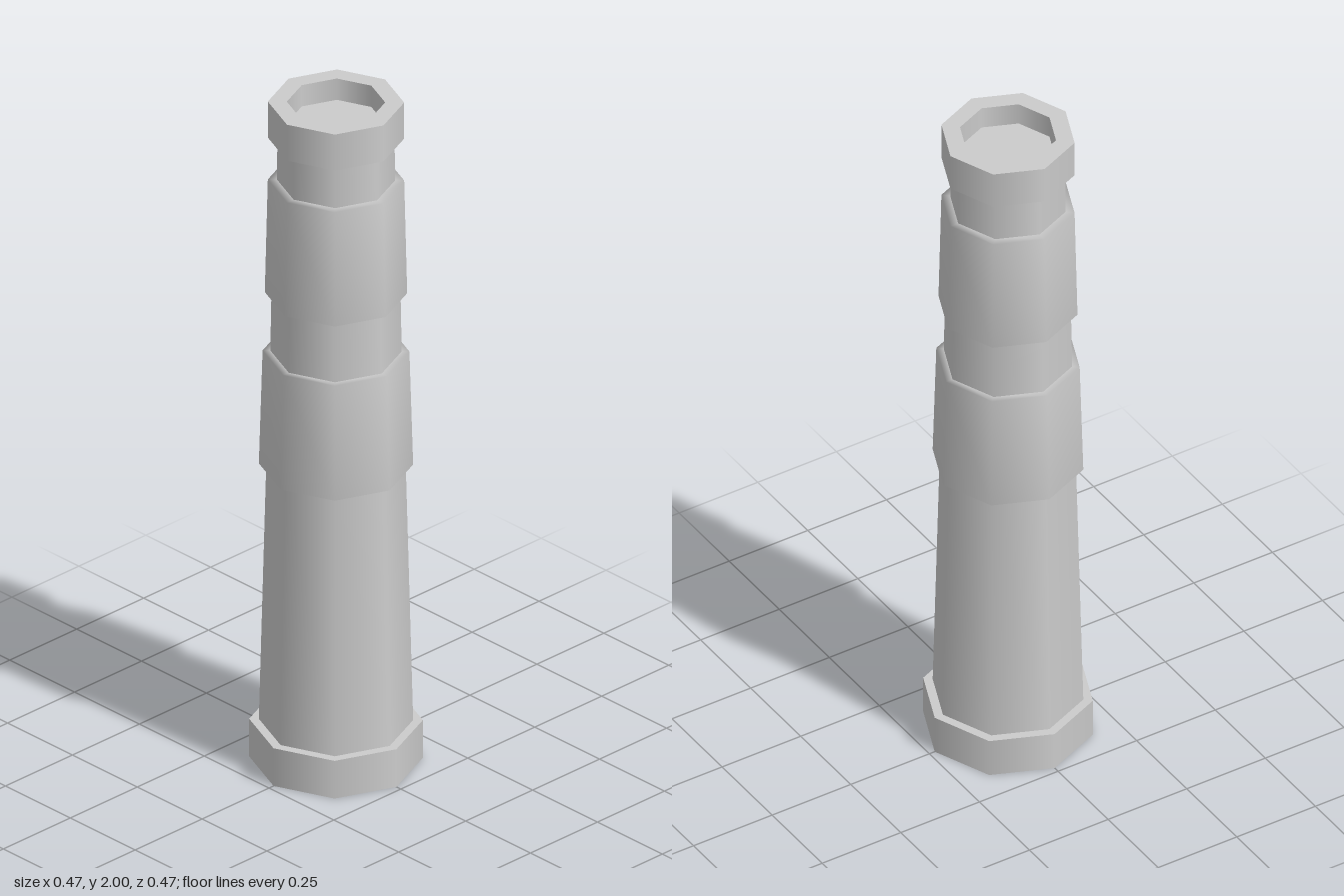
import * as THREE from 'three';
import { mergeGeometries } from 'three/addons/utils/BufferGeometryUtils.js';

const SIDES = 8;
const material = new THREE.MeshStandardMaterial({ color: 0xcccccc });

const lathe = (points) =>
  new THREE.LatheGeometry(points.map(([r, y]) => new THREE.Vector2(r, y)), SIDES);

// Turned part, smooth around the axis, with a hard edge at every profile point
function hardTurned(profile) {
  const bands = [];
  for (let i = 0; i < profile.length - 1; i++) bands.push(lathe([profile[i], profile[i + 1]]));
  return mergeGeometries(bands);
}

export function createModel() {
  const model = new THREE.Group();
  const add = (name, geometry) => {
    const mesh = new THREE.Mesh(geometry, material);
    mesh.name = name;
    model.add(mesh);
  };

  // Closed rim around the large lens
  add('lensRim', hardTurned([[0, 0], [0.233, 0], [0.233, 0.115], [0, 0.115]]));

  // Three telescoping tubes, each tucked into the next collar
  add('mainTube', hardTurned([[0.207, 0.115], [0.187, 0.9]]));
  add('middleTube', hardTurned([[0.177, 1.2], [0.173, 1.43]]));
  add('eyeTube', hardTurned([[0.159, 1.72], [0.157, 1.9]]));

  // Collars with softly shaded edges
  const collars = [
    ['lowerCollar', 0.895, 1.24, 0.207, 0.197, 0.18, 0.17],
    ['upperCollar', 1.418, 1.762, 0.191, 0.183, 0.165, 0.15],
  ];
  for (const [name, y0, y1, r0, r1, inner0, inner1] of collars) {
    add(name, lathe([[inner0, y0], [r0, y0], [r1, y1], [inner1, y1]]));
  }

  // Eyepiece ring with a recessed lens
  add('eyepiece', hardTurned([
    [0.14, 1.89], [0.183, 1.89], [0.183, 2], [0.132, 2], [0.132, 1.935], [0, 1.935],
  ]));

  return model;
}
